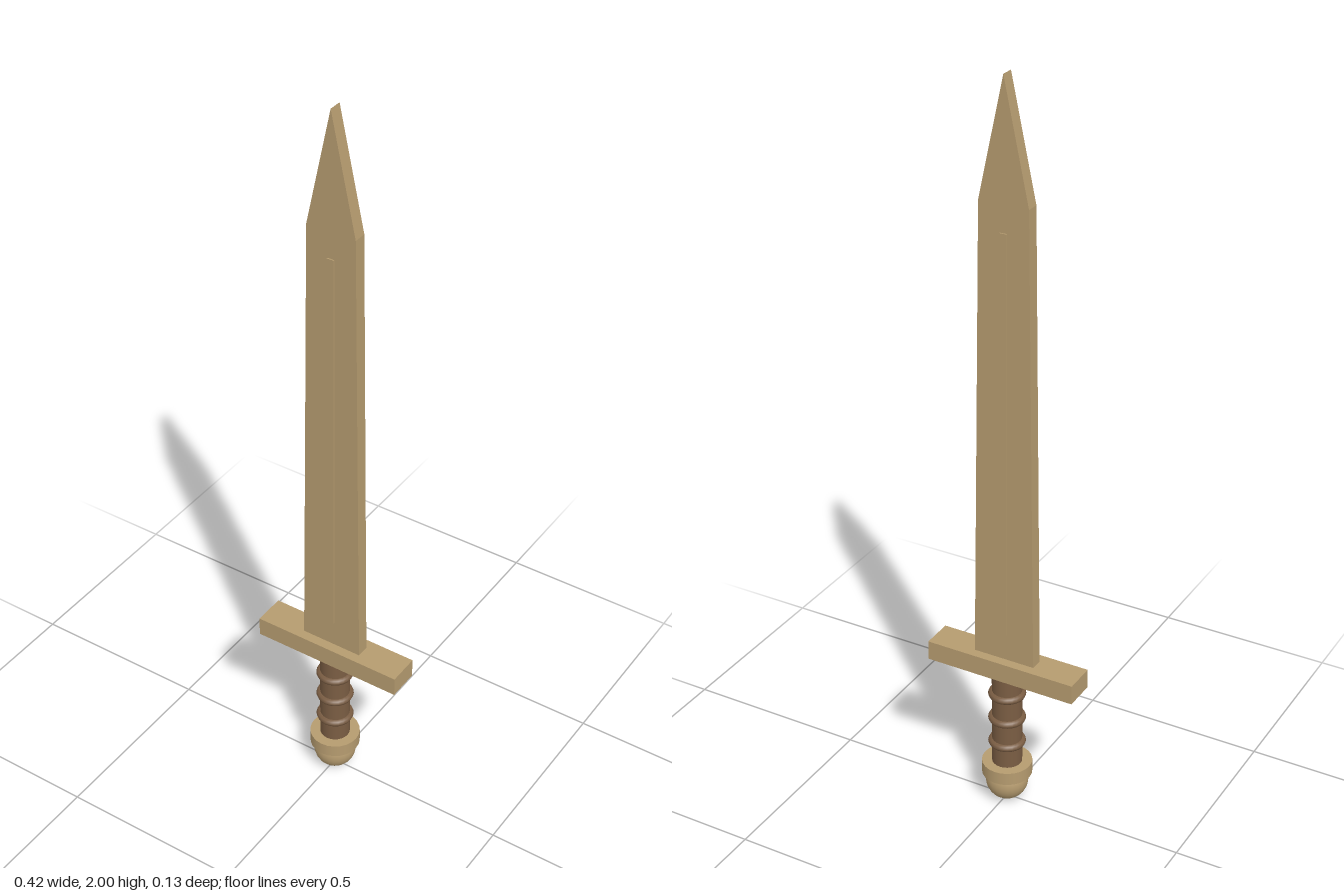
import * as THREE from 'three';

export function createModel() {
  const sword = new THREE.Group();
  sword.name = 'sword';

  const bronze = new THREE.MeshStandardMaterial({ color: 0xb59b6f });
  bronze.name = 'bronze';
  const leather = new THREE.MeshStandardMaterial({ color: 0x7a5d43 });
  leather.name = 'leather';

  const add = (name, geometry, material, y) => {
    const mesh = new THREE.Mesh(geometry, material);
    mesh.name = name;
    mesh.position.y = y;
    sword.add(mesh);
    return mesh;
  };

  // Blade: tapering flat slab with a pointed tip
  const outline = new THREE.Shape([
    [-0.086, 0.44], [0.086, 0.44], [0.067, 1.69], [0, 2], [-0.067, 1.69],
  ].map(([x, y]) => new THREE.Vector2(x, y)));
  const blade = new THREE.ExtrudeGeometry(outline, { depth: 0.035, bevelEnabled: false });
  blade.translate(0, 0, -0.0175);
  add('blade', blade, bronze, 0);

  // Raised rib running along both faces of the blade
  add('bladeRib', new THREE.BoxGeometry(0.019, 1.1, 0.042), bronze, 1.07);

  // Crossguard
  add('crossguard', new THREE.BoxGeometry(0.422, 0.054, 0.087), bronze, 0.418);

  // Grip with three raised rings
  add('grip', new THREE.CylinderGeometry(0.04, 0.04, 0.3, 24), leather, 0.25);
  for (const y of [0.18, 0.255, 0.33]) {
    const ring = add('gripRing', new THREE.TorusGeometry(0.04, 0.01, 8, 24), leather, y);
    ring.rotation.x = Math.PI / 2;
  }

  // Pommel: collar and ball
  add('pommelCollar', new THREE.CylinderGeometry(0.067, 0.067, 0.036, 24), bronze, 0.099);
  add('pommel', new THREE.SphereGeometry(0.057, 24, 16), bronze, 0.057);

  return sword;
}
